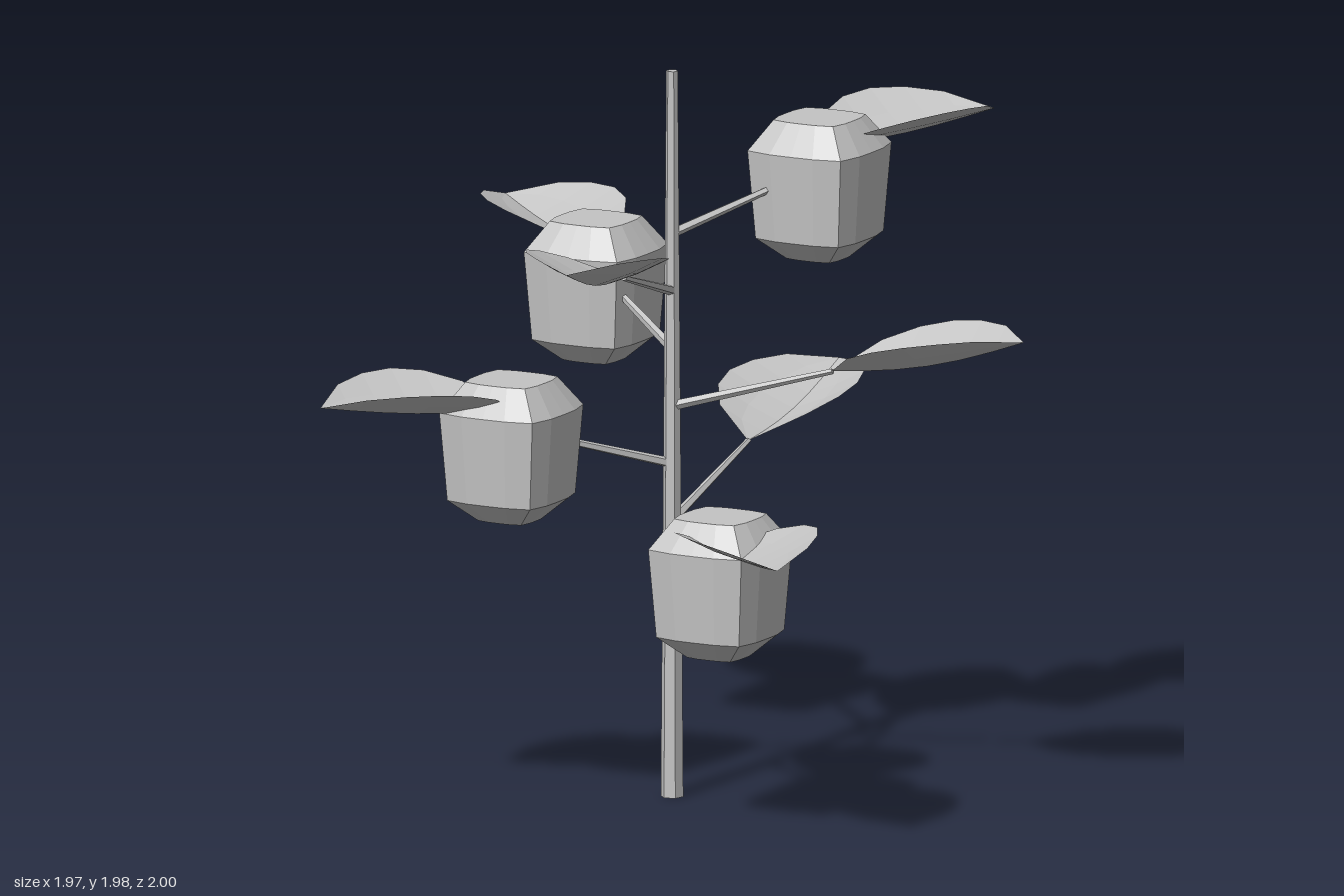
import * as THREE from 'three';

const grey = new THREE.MeshStandardMaterial({ color: 0xc4c4c4, flatShading: true, side: THREE.DoubleSide });
grey.name = 'plain grey';

function part(name, geometry) {
  const mesh = new THREE.Mesh(geometry, grey);
  mesh.name = name;
  return mesh;
}

// Tapered rod between two points
function rod(name, from, to, r0, r1, sides) {
  const dir = to.clone().sub(from);
  const mesh = part(name, new THREE.CylinderGeometry(r1, r0, dir.length(), sides));
  mesh.position.copy(from).addScaledVector(dir, 0.5);
  mesh.quaternion.setFromUnitVectors(new THREE.Vector3(0, 1, 0), dir.normalize());
  return mesh;
}

// Leaf running outward along +x, folded up along its midrib
function leafGeometry(baseY, tipY, sag) {
  const start = 0.46, length = 0.545, cols = 4;
  const halfWidths = [0.004, 0.13, 0.18, 0.19, 0.165, 0.11, 0.002];
  const rows = halfWidths.length - 1;
  const pos = [], index = [];
  halfWidths.forEach((w, i) => {
    const t = i / rows;
    const rib = baseY + (tipY - baseY) * t - sag * Math.sin(Math.PI * t);
    for (let j = 0; j <= cols; j++) {
      const u = (j / cols) * 2 - 1;
      pos.push(start + length * t, rib + 0.46 * w * Math.pow(Math.abs(u), 1.2), w * u);
    }
  });
  for (let i = 0; i < rows; i++) {
    for (let j = 0; j < cols; j++) {
      const a = i * (cols + 1) + j, b = a + cols + 1;
      index.push(a, a + 1, b, a + 1, b + 1, b);
    }
  }
  const g = new THREE.BufferGeometry();
  g.setAttribute('position', new THREE.Float32BufferAttribute(pos, 3));
  g.setIndex(index);
  g.computeVertexNormals();
  return g;
}

// Fruit: stacked rings with four soft corners
function fruitGeometry() {
  const profile = [[0, -0.115], [0.092, -0.115], [0.178, -0.055], [0.2, 0.185], [0.128, 0.265], [0, 0.265]];
  const g = new THREE.LatheGeometry(profile.map(([r, y]) => new THREE.Vector2(r, y)), 16);
  const p = g.attributes.position;
  for (let i = 0; i < p.count; i++) {
    const angle = Math.atan2(p.getZ(i), p.getX(i));
    const k = 1 - 0.2 * Math.abs(Math.sin(2 * angle));
    p.setX(i, p.getX(i) * k);
    p.setZ(i, p.getZ(i) * k);
  }
  g.computeVertexNormals();
  return g;
}

export function createModel() {
  const plant = new THREE.Group();
  plant.name = 'plant';
  const V = (x, y, z) => new THREE.Vector3(x, y, z);

  plant.add(rod('stem', V(0, 0, 0), V(0, 1.98, 0), 0.031, 0.016, 6));

  const fruitShape = fruitGeometry();
  const freeLeaf = leafGeometry(0.13, 0.25, 0.025);
  const fruitLeaf = leafGeometry(0.18, 0.228, 0.012);

  // Branches spiral up the stem, every other one bearing a fruit
  for (let i = 0; i < 7; i++) {
    const angle = THREE.MathUtils.degToRad(90 - 137.5 * i);
    const y = 0.595 + 0.157 * i;
    const hasFruit = i % 2 === 0;

    const branch = new THREE.Group();
    branch.name = 'branch';
    branch.position.y = y;
    branch.rotation.y = -angle;
    branch.add(rod('stalk', V(0, 0, 0), V(0.46, 0.13, 0), 0.014, 0.008, 5));
    branch.add(part('leaf', hasFruit ? fruitLeaf : freeLeaf));
    plant.add(branch);

    if (hasFruit) {
      const fruit = part('fruit', fruitShape);
      fruit.position.set(0.46 * Math.cos(angle), y, 0.46 * Math.sin(angle));
      plant.add(fruit);
    }
  }

  plant.position.set(0.01, 0, -0.008);
  const model = new THREE.Group();
  model.add(plant);
  return model;
}
